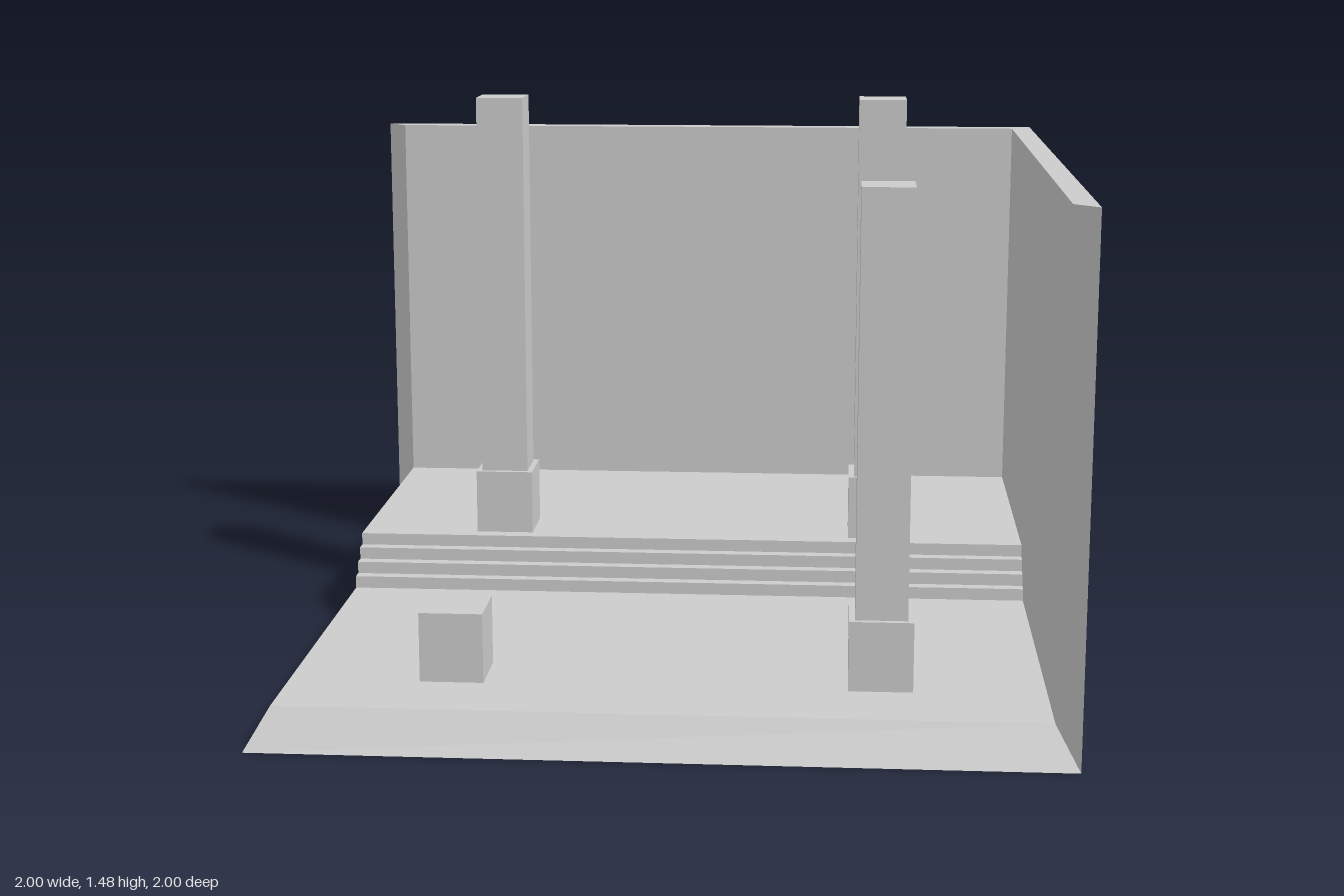
import * as THREE from 'three';
import { ConvexGeometry } from 'three/addons/geometries/ConvexGeometry.js';

const TOP = 1.335;     // top of the walls
const FLOOR = 0.1;     // lower floor level
const IN = 0.942;      // inner faces of walls and bevels

export function createModel() {
  const model = new THREE.Group();
  model.name = 'pillaredCourt';
  const material = new THREE.MeshStandardMaterial({ color: 0xcccccc, flatShading: true });

  const add = (name, geometry, parent = model) => {
    const mesh = new THREE.Mesh(geometry, material);
    mesh.name = name;
    parent.add(mesh);
    return mesh;
  };

  // Slab between four outer corners and four inset corners, with mitred edges
  const slab = (name, outer, inner) =>
    add(name, new ConvexGeometry([...outer, ...inner].map((p) => new THREE.Vector3(...p))));

  // Floor with bevelled open edges
  slab('floor',
    [[-1, 0, -1], [1, 0, -1], [1, 0, 1], [-1, 0, 1]],
    [[-IN, FLOOR, -IN], [IN, FLOOR, -IN], [IN, FLOOR, IN], [-IN, FLOOR, IN]]);

  // Back wall and left wall, with slanted free ends
  slab('backWall',
    [[-1, 0, -1], [1, 0, -1], [1, TOP, -1], [-1, TOP, -1]],
    [[-IN, FLOOR, -IN], [IN, FLOOR, -IN], [IN, TOP, -IN], [-IN, TOP, -IN]]);
  slab('leftWall',
    [[1, 0, -1], [1, 0, 1], [1, TOP, 1], [1, TOP, -1]],
    [[IN, FLOOR, -IN], [IN, FLOOR, IN], [IN, TOP, IN], [IN, TOP, -IN]]);

  // Raised platform with four steps: side profile (z, y) extruded across the width
  const rise = 0.0333, tread = 0.0327, steps = 4;
  const profile = new THREE.Shape();
  profile.moveTo(IN, FLOOR);
  for (let i = 0; i < steps; i++) {
    const z = -0.047 - i * tread;
    profile.lineTo(-z, FLOOR + i * rise);
    profile.lineTo(-z, FLOOR + (i + 1) * rise);
  }
  profile.lineTo(IN, FLOOR + steps * rise);
  profile.closePath();
  const platform = new THREE.ExtrudeGeometry(profile, { depth: 2 * IN, bevelEnabled: false });
  platform.rotateY(Math.PI / 2);
  platform.translate(-IN, 0, 0);
  add('steppedPlatform', platform);

  // Square pillars on plinths; a zero shaft height leaves a bare plinth
  const pillar = (name, x, y, z, shaft) => {
    const group = new THREE.Group();
    group.name = name;
    group.position.set(x, y, z);
    model.add(group);
    const plinth = 0.178;
    add('plinth', new THREE.BoxGeometry(0.16, plinth, 0.16), group).position.y = plinth / 2;
    if (shaft) {
      add('shaft', new THREE.BoxGeometry(0.13, shaft, 0.13), group).position.y = plinth + shaft / 2;
    }
  };
  const upper = FLOOR + steps * rise;
  pillar('backRightPillar', -0.533, upper, -0.267, 1.067);
  pillar('backLeftPillar', 0.533, upper, -0.267, 1.067);
  pillar('frontLeftPillar', 0.533, FLOOR, 0.663, 1.067);
  pillar('frontRightPlinth', -0.533, FLOOR, 0.663, 0);

  return model;
}
